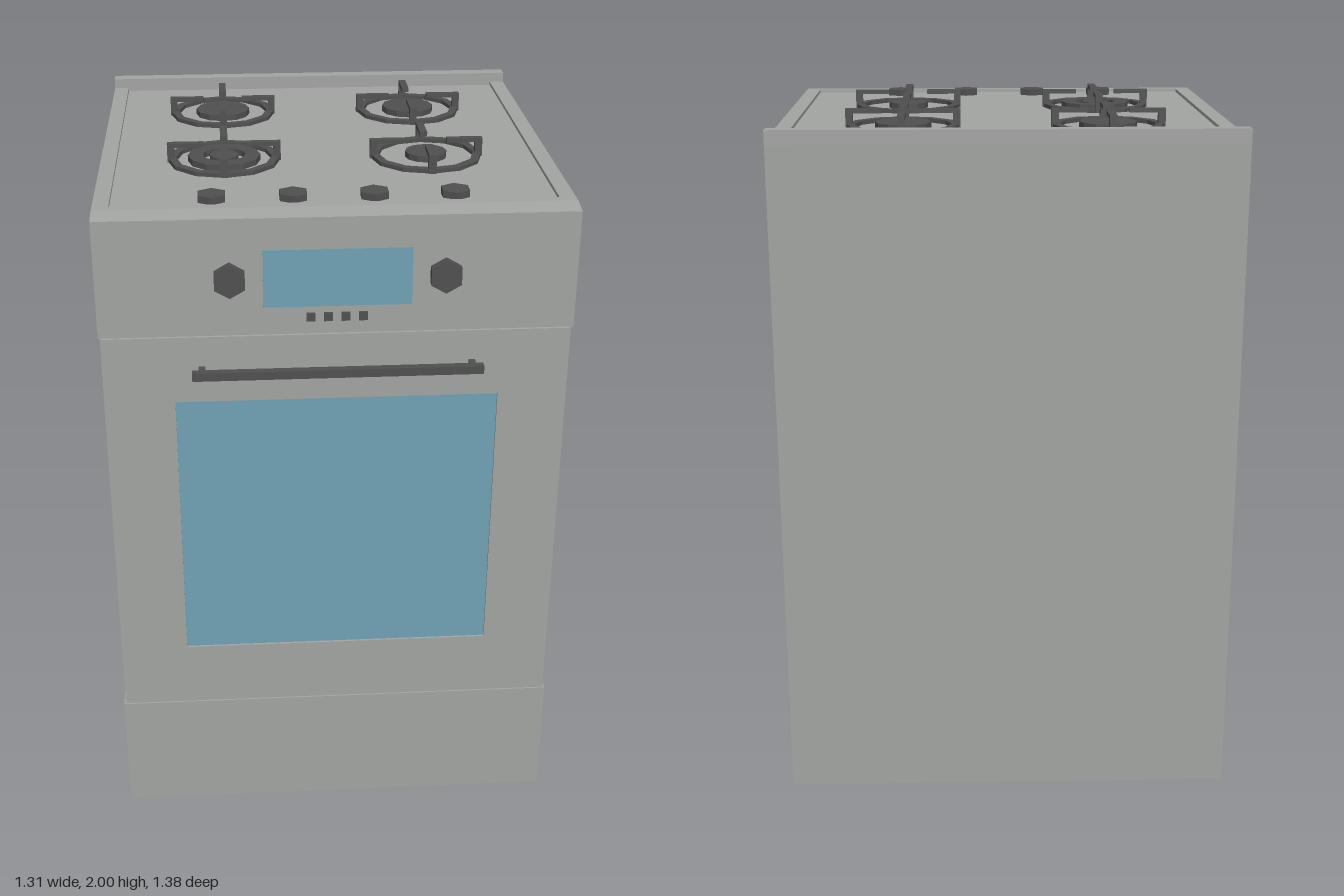
import * as THREE from 'three';

const steel = new THREE.MeshStandardMaterial({ color: 0xa2a4a2 });
steel.name = 'steel';
const dark = new THREE.MeshStandardMaterial({ color: 0x505050 });
dark.name = 'darkMetal';
const glass = new THREE.MeshStandardMaterial({ color: 0x70a2b5 });
glass.name = 'blueGlass';

const HALF = 0.655, FRONT = 0.635, BACK = -0.69, DECK = 1.945, RIM = 1.955;

function add(parent, name, geometry, material, x = 0, y = 0, z = 0) {
  const mesh = new THREE.Mesh(geometry, material);
  mesh.name = name;
  mesh.position.set(x, y, z);
  parent.add(mesh);
  return mesh;
}

// Box given by its limits on each axis
function block(parent, name, material, [x0, x1], [y0, y1], [z0, z1]) {
  return add(parent, name, new THREE.BoxGeometry(x1 - x0, y1 - y0, z1 - z0), material,
    (x0 + x1) / 2, (y0 + y1) / 2, (z0 + z1) / 2);
}

// Side profile of [z, y] points, swept across the full width
function sweep(parent, name, points) {
  const shape = new THREE.Shape(points.map(p => new THREE.Vector2(...p)));
  const g = new THREE.ExtrudeGeometry(shape, { depth: HALF * 2, bevelEnabled: false });
  g.rotateY(-Math.PI / 2).translate(HALF, 0, 0);
  return add(parent, name, g, steel);
}

function rectangle(target, x0, x1, y0, y1) {
  target.moveTo(x0, y0);
  target.lineTo(x1, y0);
  target.lineTo(x1, y1);
  target.lineTo(x0, y1);
  target.closePath();
  return target;
}

// Faceted ring with a rectangular section
function ring(inner, outer, height, sides) {
  const pts = [[outer, 0], [outer, height], [inner, height], [inner, 0], [outer, 0]];
  const g = new THREE.LatheGeometry(pts.map(p => new THREE.Vector2(...p)), sides).toNonIndexed();
  g.computeVertexNormals();
  return g;
}

function disc(radius, height, sides) {
  const g = new THREE.CylinderGeometry(radius, radius, height, sides).toNonIndexed();
  g.computeVertexNormals();
  return g.translate(0, height / 2, 0);
}

function burner(name, x, z, radius, dual) {
  const group = new THREE.Group();
  group.name = name;
  group.position.set(x, DECK, z);
  if (dual) {
    add(group, 'outerBurner', ring(0.062, radius, 0.018, 12), dark);
    add(group, 'innerBurner', disc(0.042, 0.018, 12), dark);
  } else {
    add(group, 'burnerCap', disc(radius, 0.018, 12), dark);
  }
  add(group, 'grateRing', ring(0.14, 0.164, 0.012, 12), dark);
  // Four L-shaped pan supports
  for (let i = 0; i < 4; i++) {
    const arm = new THREE.Group();
    arm.name = 'panSupport';
    arm.rotation.y = i * Math.PI / 2;
    block(arm, 'supportLeg', dark, [0.144, 0.165], [0, 0.043], [-0.011, 0.011]);
    block(arm, 'supportBar', dark, [0.06, 0.165], [0.043, 0.055], [-0.011, 0.011]);
    group.add(arm);
  }
  return group;
}

export function createModel() {
  const model = new THREE.Group();
  model.name = 'cooker';

  // Cabinet with a recess for the door
  sweep(model, 'cabinet', [[BACK, 0], [FRONT, 0], [FRONT, 0.375], [0.58, 0.375],
    [0.58, 1.61], [FRONT, 1.61], [FRONT, DECK], [BACK, DECK]]);

  // Raised rim around the hob
  sweep(model, 'frontRim', [[0.545, DECK], [FRONT, DECK], [0.575, RIM], [0.545, RIM]]);
  sweep(model, 'backLedge', [[BACK, DECK], [-0.645, DECK], [-0.645, 1.985], [BACK, 1.985]]);
  for (const s of [-1, 1]) {
    block(model, 'sideRim', steel, s < 0 ? [-HALF, -0.61] : [0.61, HALF],
      [DECK, RIM], [-0.645, 0.545]);
  }

  // Oven door with an inset window
  const door = new THREE.Group();
  door.name = 'ovenDoor';
  const frame = rectangle(new THREE.Shape(), -0.648, 0.648, 0.379, 1.606);
  frame.holes.push(rectangle(new THREE.Path(), -0.453, 0.453, 0.58, 1.41));
  add(door, 'doorFrame', new THREE.ExtrudeGeometry(frame,
    { depth: FRONT - 0.58, bevelEnabled: false }), steel, 0, 0, 0.58);
  block(door, 'doorWindow', glass, [-0.453, 0.453], [0.58, 1.41], [0.62, 0.628]);
  block(door, 'handleBar', dark, [-0.402, 0.402], [1.498, 1.522], [0.667, 0.69]);
  for (const s of [-1, 1]) {
    block(door, 'handlePost', dark, [s * 0.375 - 0.009, s * 0.375 + 0.009],
      [1.502, 1.518], [FRONT, 0.668]);
  }
  model.add(door);

  // Control panel
  block(model, 'display', glass, [-0.203, 0.203], [1.69, 1.855], [0.632, 0.637]);
  for (const x of [-0.293, 0.293]) {
    add(model, 'ovenKnob', disc(0.048, 0.024, 6).rotateX(Math.PI / 2), dark, x, 1.775, FRONT);
  }
  for (let i = 0; i < 4; i++) {
    const x = -0.074 + i * 0.048;
    block(model, 'button', dark, [x - 0.012, x + 0.012], [1.648, 1.672], [FRONT, 0.643]);
    add(model, 'hobKnob', disc(0.043, 0.02, 6), dark, -0.335 + i * 0.223, DECK, 0.48);
  }

  // Gas burners
  model.add(
    burner('backRightBurner', -0.297, -0.354, 0.084),
    burner('backLeftBurner', 0.295, -0.354, 0.081),
    burner('frontRightBurner', -0.297, 0.13, 0.106, true),
    burner('frontLeftBurner', 0.295, 0.13, 0.061));

  return model;
}
